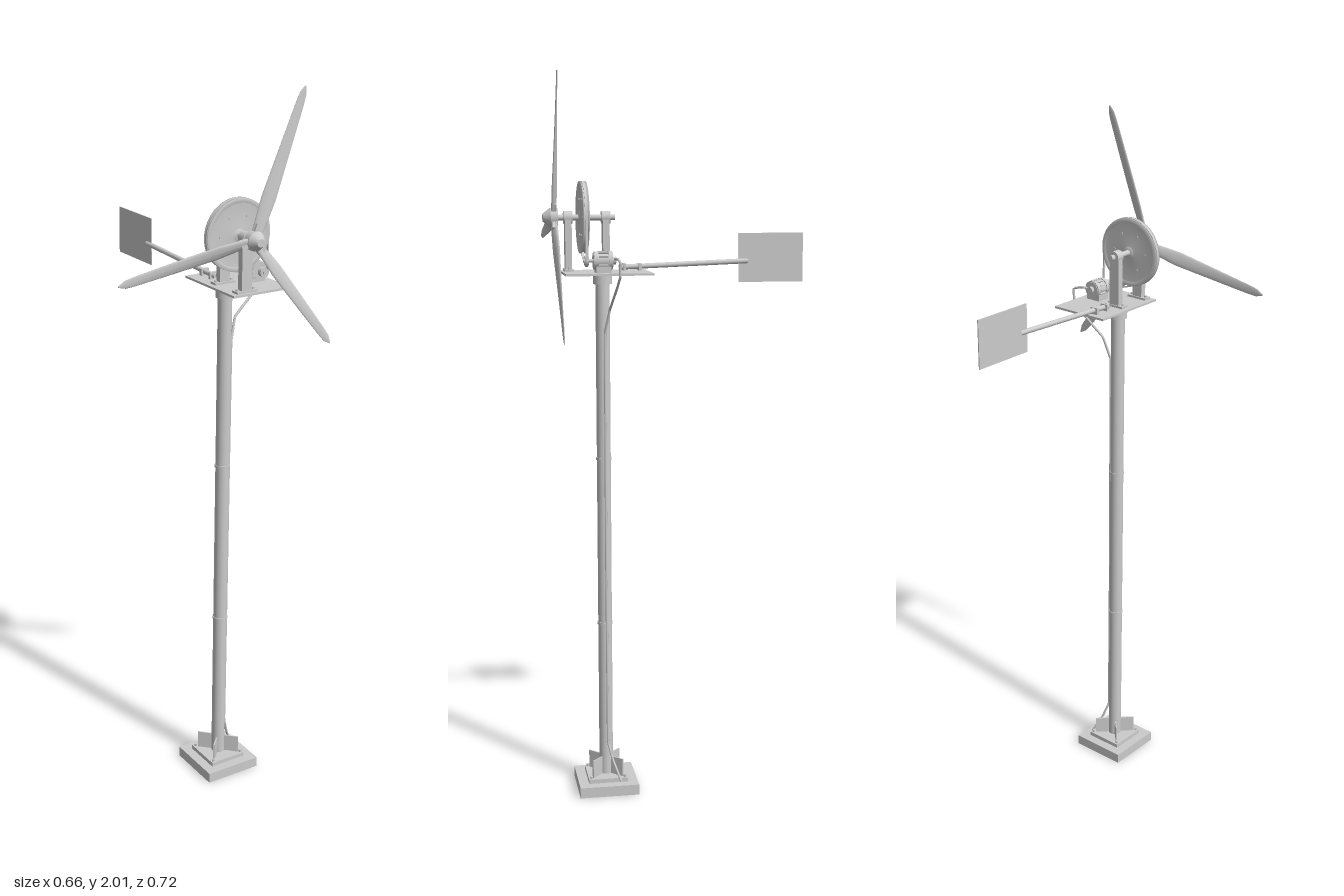
import * as THREE from 'three';

const PX = 0.072, PZ = 0.2;      // mast axis
const HUB_Y = 1.63, DECK_Y = 1.486;
const grey = new THREE.MeshStandardMaterial({ color: 0xcccccc });
const thin = new THREE.MeshStandardMaterial({ color: 0xcccccc, side: THREE.DoubleSide });

function add(parent, name, geometry, x = 0, y = 0, z = 0, material = grey) {
  const mesh = new THREE.Mesh(geometry, material);
  mesh.name = name;
  mesh.position.set(x, y, z);
  parent.add(mesh);
  return mesh;
}
const box = (w, h, d) => new THREE.BoxGeometry(w, h, d);
const cyl = (r, h, n = 24, r2 = r) => new THREE.CylinderGeometry(r2, r, h, n);
const cylZ = (r, h, n = 24, r2 = r) => cyl(r, h, n, r2).rotateX(Math.PI / 2); // r2 at +z
const v = (x, y, z) => new THREE.Vector3(x, y, z);

// Twisted, tapered blade: a cylinder reshaped into lens sections along y
function bladeGeometry() {
  const g = new THREE.CylinderGeometry(1, 1, 1, 14, 20);
  const p = g.attributes.position;
  for (let i = 0; i < p.count; i++) {
    const t = p.getY(i) + 0.5;
    let half = t < 0.25 ? 0.014 + 0.024 * t : 0.020 - 0.0115 * (t - 0.25);
    half *= Math.sqrt(Math.max(0.03, 1 - Math.pow(t, 30)));  // rounded tip
    const thick = 0.006 - 0.0045 * t;
    const twist = 0.42 * (1 - t) + 0.03;
    const x = p.getX(i) * half, z = p.getZ(i) * thick;
    p.setXYZ(i, x * Math.cos(twist) - z * Math.sin(twist), 0.012 + 0.393 * t,
      x * Math.sin(twist) + z * Math.cos(twist));
  }
  g.computeVertexNormals();
  return g;
}

// Outline of a belt around two pulleys, the first at the origin
function beltOutline(path, r1, cx, cy, r2) {
  const phi = Math.atan2(cy, cx), a = Math.acos((r1 - r2) / Math.hypot(cx, cy));
  path.absarc(0, 0, r1, phi + a, phi - a + Math.PI * 2, false);
  path.absarc(cx, cy, r2, phi - a, phi + a, false);
  path.closePath();
  return path;
}

function buildMast(root) {
  const mast = new THREE.Group();
  mast.name = 'mast';
  mast.position.set(PX, 0, PZ);
  root.add(mast);
  add(mast, 'basePlinth', box(0.168, 0.03, 0.168), 0, 0.015);
  add(mast, 'basePlate', box(0.112, 0.012, 0.112), 0, 0.036);
  add(mast, 'pole', cyl(0.0195, 1.44, 28), 0, 0.76);
  add(mast, 'yawCollar', cyl(0.026, 0.03, 28), 0, 1.465);
  for (const y of [0.49, 0.965]) add(mast, 'poleBand', cyl(0.0215, 0.007, 28), 0, y);
  // Diagonal gussets and anchor bolts
  for (let i = 0; i < 4; i++) {
    const a = Math.PI / 4 + i * Math.PI / 2, c = Math.cos(a), s = Math.sin(a);
    add(mast, 'gusset', box(0.044, 0.052, 0.004), c * 0.039, 0.067, -s * 0.039).rotation.y = a;
    add(mast, 'anchorBolt', cyl(0.004, 0.008, 6), Math.sign(c) * 0.048, 0.045, Math.sign(s) * 0.048);
  }
}

function buildDrive(root) {
  add(root, 'deckPlate', box(0.178, 0.006, 0.236), 0.114, DECK_Y - 0.003, 0.195);
  // Shaft and its bearing stands
  add(root, 'mainShaft', cylZ(0.008, 0.165), PX, HUB_Y, 0.2475);
  for (const z of [0.19, 0.293]) {
    const stand = new THREE.Group();
    stand.name = 'bearingStand';
    stand.position.set(PX, 0, z);
    root.add(stand);
    add(stand, 'standPost', box(0.032, HUB_Y - DECK_Y, 0.018), 0, (HUB_Y + DECK_Y) / 2);
    add(stand, 'standFoot', box(0.064, 0.006, 0.024), 0, DECK_Y + 0.003);
    add(stand, 'bearingHousing', cylZ(0.017, 0.024), 0, HUB_Y);
    for (const s of [-1, 1]) add(stand, 'footBolt', cyl(0.004, 0.006, 6), s * 0.025, DECK_Y + 0.008);
  }
  // Large pulley with grooved rim and recessed web
  const profile = [[0.001, -0.012], [0.017, -0.012], [0.017, -0.005], [0.085, -0.005], [0.085, -0.009],
    [0.097, -0.009], [0.097, -0.005], [0.093, -0.003], [0.093, 0.003], [0.097, 0.005], [0.097, 0.009],
    [0.085, 0.009], [0.085, 0.005], [0.017, 0.005], [0.017, 0.012], [0.001, 0.012]];
  const positions = [];
  for (const [r, h] of profile) positions.push(new THREE.Vector2(r, h));
  const pulley = new THREE.LatheGeometry(positions, 56).rotateX(Math.PI / 2);
  add(root, 'largePulley', pulley, PX, HUB_Y, 0.253, thin);
  for (let i = 0; i < 6; i++) {
    const a = i * Math.PI / 3;
    add(root, 'pulleyBolt', cylZ(0.004, 0.014, 8), PX + 0.055 * Math.cos(a), HUB_Y + 0.055 * Math.sin(a), 0.253);
  }
  // Generator with end caps, cooling ribs and cradle
  const gx = 0.157, gy = 1.518;
  const gen = new THREE.Group();
  gen.name = 'generator';
  gen.position.set(gx, gy, 0);
  root.add(gen);
  add(gen, 'generatorBody', cylZ(0.022, 0.052), 0, 0, 0.209);
  for (const z of [0.19, 0.228]) add(gen, 'endCap', cylZ(0.025, 0.01), 0, 0, z);
  for (let i = 0; i < 12; i++) {
    const a = i * Math.PI / 6;
    add(gen, 'coolingRib', box(0.006, 0.003, 0.026), 0.023 * Math.cos(a), 0.023 * Math.sin(a), 0.209).rotation.z = a;
  }
  add(gen, 'generatorCradle', box(0.046, 0.018, 0.04), 0, DECK_Y - gy + 0.009, 0.209);
  add(gen, 'rearBoss', cylZ(0.01, 0.01), 0, 0, 0.179);
  add(gen, 'generatorShaft', cylZ(0.005, 0.03), 0, 0, 0.247);
  add(gen, 'smallPulley', cylZ(0.013, 0.012), 0, 0, 0.253);
  // Drive belt
  const cx = gx - PX, cy = gy - HUB_Y;
  const belt = beltOutline(new THREE.Shape(), 0.0975, cx, cy, 0.016);
  belt.holes.push(beltOutline(new THREE.Path(), 0.094, cx, cy, 0.0125));
  add(root, 'driveBelt', new THREE.ExtrudeGeometry(belt, { depth: 0.007, bevelEnabled: false, curveSegments: 40 }),
    PX, HUB_Y, 0.2495);
}

function buildRotor(root) {
  const rotor = new THREE.Group();
  rotor.name = 'rotor';
  rotor.position.set(PX, HUB_Y, 0.331);
  root.add(rotor);
  add(rotor, 'hub', cylZ(0.026, 0.02), 0, 0, 0);
  add(rotor, 'noseCone', cylZ(0.026, 0.02, 24, 0.011), 0, 0, 0.02);
  const blade = bladeGeometry();
  for (let i = 0; i < 3; i++) {
    const arm = new THREE.Group();
    arm.name = 'bladeArm';
    arm.rotation.z = THREE.MathUtils.degToRad(69 - 90 + i * 120);
    rotor.add(arm);
    add(arm, 'blade', blade);
    add(arm, 'bladeRoot', box(0.024, 0.03, 0.012), 0, 0.028, 0);
  }
}

function buildTail(root) {
  const boom = new THREE.LineCurve3(v(PX, 1.495, 0.155), v(PX, 1.509, -0.205));
  add(root, 'tailBoom', new THREE.TubeGeometry(boom, 1, 0.007, 16), 0, 0, 0, thin);
  for (const z of [0.097, 0.14]) {
    add(root, 'boomClamp', box(0.024, 0.02, 0.008), PX, 1.495, z);
  }
  add(root, 'tailVane', box(0.003, 0.135, 0.182), PX, 1.518, -0.271);
}

function buildCable(root) {
  // Power cable from the generator down the mast to the base
  const path = new THREE.CurvePath();
  const pts = [v(0.168, 1.522, 0.178), v(0.182, 1.524, 0.172), v(0.213, 1.515, 0.169), v(0.211, 1.475, 0.17),
    v(0.185, 1.445, 0.175), v(0.115, 1.385, 0.185), v(0.096, 1.32, 0.197), v(0.0945, 0.7, 0.198),
    v(0.0945, 0.14, 0.197), v(0.11, 0.09, 0.185), v(0.135, 0.035, 0.165)];
  for (let i = 1; i < pts.length; i++) path.add(new THREE.LineCurve3(pts[i - 1], pts[i]));
  add(root, 'powerCable', new THREE.TubeGeometry(path, 160, 0.0035, 8), 0, 0, 0, thin);
}

export function createModel() {
  const root = new THREE.Group();
  root.name = 'windTurbine';
  buildMast(root);
  buildDrive(root);
  buildRotor(root);
  buildTail(root);
  buildCable(root);
  return root;
}
